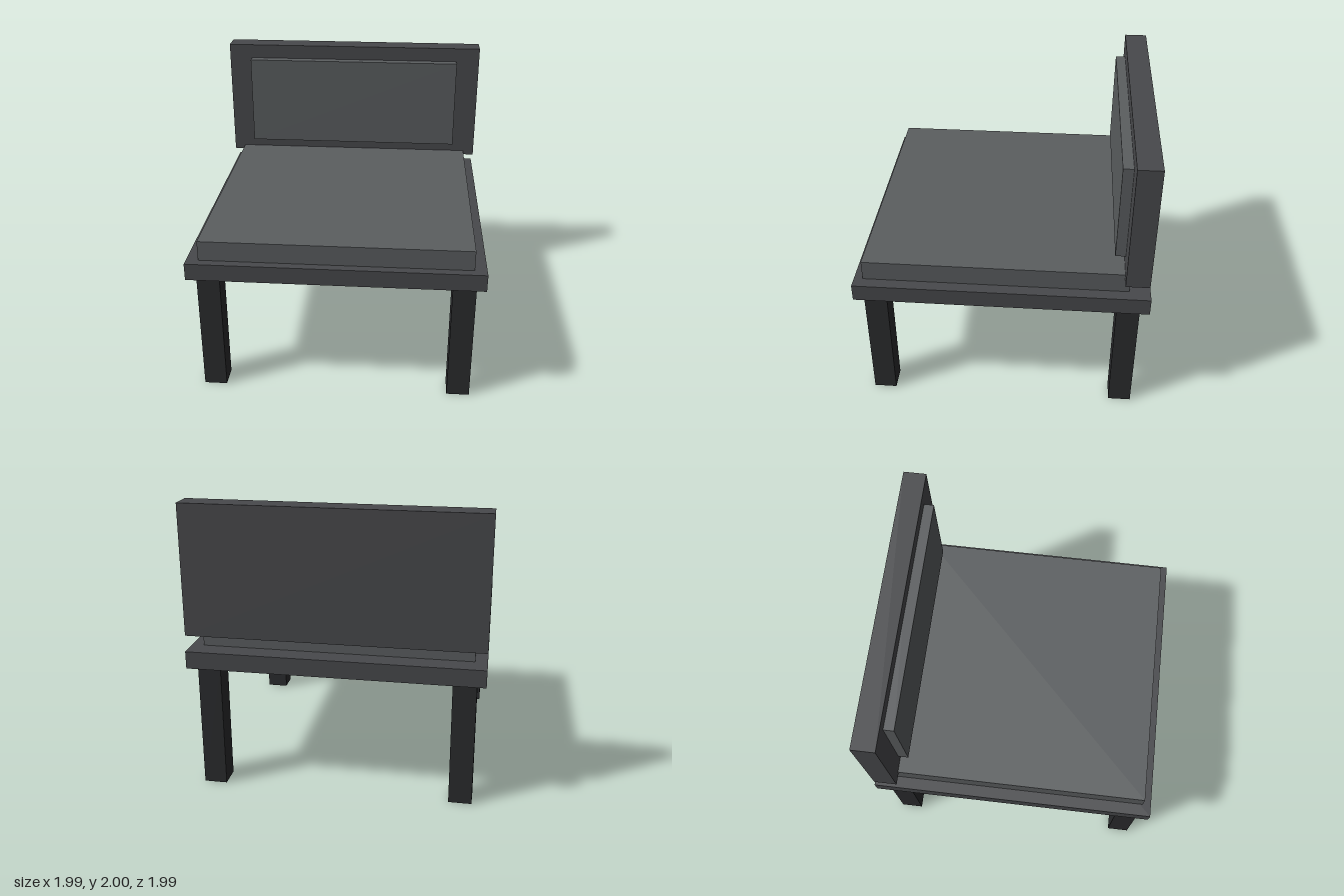
import * as THREE from 'three';

export function createModel() {
  const group = new THREE.Group();
  const frame = new THREE.MeshStandardMaterial({ color: 0x48494c });
  const padding = new THREE.MeshStandardMaterial({ color: 0x5b5e60 });
  const legs = new THREE.MeshStandardMaterial({ color: 0x2b2c2e });

  // Box given by its lower and upper limits on each axis
  function addBox(name, material, [x0, x1], [y0, y1], [z0, z1]) {
    const mesh = new THREE.Mesh(new THREE.BoxGeometry(x1 - x0, y1 - y0, z1 - z0), material);
    mesh.position.set((x0 + x1) / 2, (y0 + y1) / 2, (z0 + z1) / 2);
    mesh.name = name;
    group.add(mesh);
  }

  // Seat base and cushion
  addBox('seatBase', frame, [-0.997, 0.997], [0.88, 1], [-0.997, 0.997]);
  addBox('seatCushion', padding, [-0.915, 0.915], [1, 1.14], [-0.857, 0.937]);

  // Backrest slab, floating above the base, with its padded panel
  addBox('backrest', frame, [-0.997, 0.997], [1.108, 2], [-0.98, -0.82]);
  addBox('backrestCushion', padding, [-0.82, 0.82], [1.22, 1.895], [-0.9, -0.75]);

  // Four square legs
  const near = [0.78, 0.937];
  const far = [-0.937, -0.78];
  for (const [side, x] of [['Left', near], ['Right', far]]) {
    addBox('front' + side + 'Leg', legs, x, [0, 0.88], near);
    addBox('back' + side + 'Leg', legs, x, [0, 0.88], far);
  }
  return group;
}
